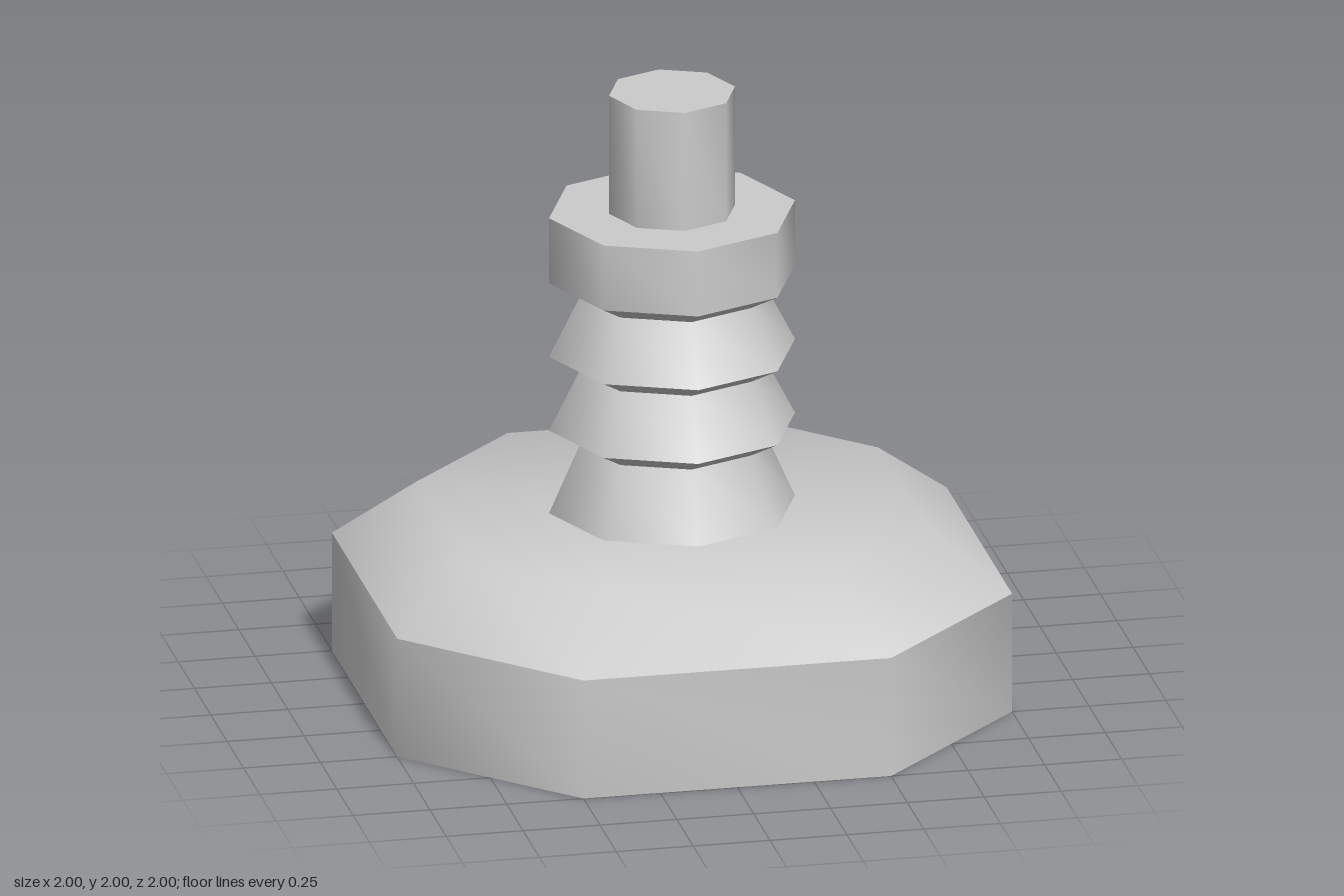
import * as THREE from 'three';
import { toCreasedNormals } from 'three/addons/utils/BufferGeometryUtils.js';

const material = new THREE.MeshStandardMaterial({ color: 0xcccccc });

// Eight-sided turned part from a [radius, y] profile running upwards
function turned(name, profile, phiStart = 0, reshape = null) {
  const points = profile.map(([r, y]) => new THREE.Vector2(r, y));
  const geometry = new THREE.LatheGeometry(points, 8, phiStart);
  if (reshape) reshape(geometry.attributes.position);
  const mesh = new THREE.Mesh(toCreasedNormals(geometry, 0.85), material);
  mesh.name = name;
  return mesh;
}

// Turns the regular octagon into a square with cut corners: (1, 0.5), (0.5, 1)
function cutCorners(position) {
  for (let i = 0; i < position.count; i++) {
    const x = position.getX(i), z = position.getZ(i);
    const r = Math.hypot(x, z);
    if (r < 1e-6) continue;
    position.setX(i, r * Math.round((x / r) * 2) / 2);
    position.setZ(i, r * Math.round((z / r) * 2) / 2);
  }
}

export function createModel() {
  const group = new THREE.Group();

  // Wide foot with a bevelled top
  group.add(turned('base',
    [[0, 0], [1, 0], [1, 0.4], [0.75, 0.6], [0, 0.6]], Math.PI / 8, cutCorners));

  // Three stacked flaring rings
  const ribs = [];
  for (let i = 0; i < 3; i++) {
    const top = 0.88 + i * 0.25;
    ribs.push([0.4, i === 0 ? 0.6 : top - 0.25], [0.3, top - 0.055]);
  }
  ribs.push([0.4, 1.38]);
  group.add(turned('ribbedStem', ribs));

  // Collar and rod on top
  group.add(turned('collar', [[0.4, 1.38], [0.4, 1.6], [0, 1.6]]));
  group.add(turned('rod', [[0.205, 1.6], [0.205, 2], [0, 2]]));

  return group;
}
